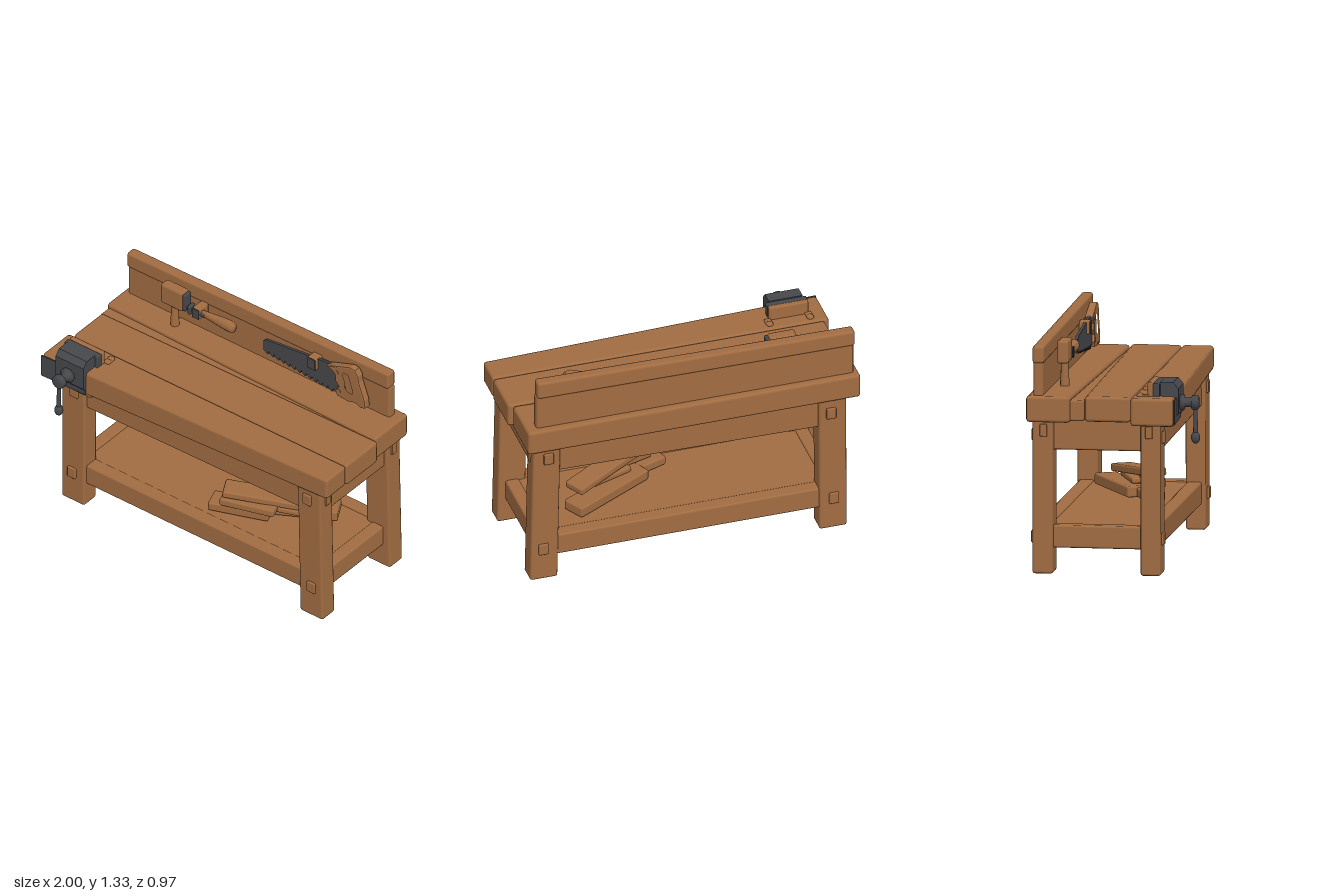
import * as THREE from 'three';
import { RoundedBoxGeometry } from 'three/addons/geometries/RoundedBoxGeometry.js';

export function createModel() {
  const bench = new THREE.Group();
  bench.name = 'workbench';
  const wood = new THREE.MeshStandardMaterial({ color: 0xa26d42 });
  wood.name = 'wood';
  const metal = new THREE.MeshStandardMaterial({ color: 0x47484c });
  metal.name = 'darkMetal';

  const add = (name, geo, mat) => {
    const m = new THREE.Mesh(geo, mat);
    m.name = name;
    bench.add(m);
    return m;
  };
  // Soft-edged block between bounds; warp(v) may bend its vertices in place.
  const block = (name, mat, [x0, x1], [y0, y1], [z0, z1], r = 0.015, warp) => {
    const geo = new RoundedBoxGeometry(x1 - x0, y1 - y0, z1 - z0, 1, r);
    geo.translate((x0 + x1) / 2, (y0 + y1) / 2, (z0 + z1) / 2);
    if (warp) {
      const p = geo.attributes.position, v = new THREE.Vector3();
      for (let i = 0; i < p.count; i++) {
        v.fromBufferAttribute(p, i);
        warp(v);
        p.setXYZ(i, v.x, v.y, v.z);
      }
    }
    return add(name, geo, mat);
  };
  const along = (x) => (x + 1) / 2; // 0 at the right end, 1 at the left end

  // Bench top: three uneven planks and a sunken wedge strip
  block('frontPlank', wood, [-1, 0.995], [0.87, 1.03], [0.115, 0.36], 0.018, (v) => {
    if (v.z > 0.2) v.z -= 0.065 * along(v.x);
    if (v.y < 0.95) v.y += 0.025 * along(v.x);
  });
  block('middlePlank', wood, [-0.97, 0.995], [0.885, 1.03], [-0.15, 0.112], 0.018, (v) => {
    if (v.z < 0) v.z -= 0.025 * along(v.x);
  });
  block('backPlank', wood, [-1, 0.97], [0.88, 1.03], [-0.48, -0.23], 0.018, (v) => {
    if (v.z > -0.35) v.z += 0.05 * along(v.x);
  });
  block('wedgeStrip', wood, [-0.985, 0.95], [0.89, 1.01], [-0.235, -0.15], 0.012, (v) => {
    v.z += (v.z < -0.19 ? 0.045 : -0.025) * along(v.x);
  });

  // Backboard: two stacked boards
  block('backboardLower', wood, [-0.97, 0.91], [1.02, 1.225], [-0.442, -0.385], 0.014, (v) => {
    if (v.y > 1.1) v.y += 0.015 * along(v.x);
  });
  block('backboardUpper', wood, [-0.977, 0.905], [1.212, 1.312], [-0.447, -0.38], 0.016, (v) => {
    v.y += (v.y > 1.26 ? 0.024 : 0.015) * along(v.x);
  });

  // Splayed legs with square pegs
  for (const s of [-1, 1]) {
    const xc = s < 0 ? -0.845 : 0.868;
    for (const [z0, z1, f] of [[0.163, 0.278, 1], [-0.455, -0.337, -1]]) {
      const tag = (f > 0 ? 'front' : 'back') + (s > 0 ? 'Left' : 'Right');
      block(tag + 'Leg', wood, [xc - 0.081, xc + 0.083], [0.005, 0.9], [z0, z1], 0.014, (v) => {
        if (v.y > 0.5) v.x -= s > 0 ? 0.018 : -0.003;
      });
      const zf = f > 0 ? z1 : z0;
      const upY = s > 0 ? 0.82 : 0.79;
      const upX = s > 0 ? 0.843 : -0.83;
      const loX = s > 0 ? 0.873 : -0.847;
      for (const [px, py] of [[upX, upY], [loX, 0.21]]) {
        block(tag + 'Peg', wood, [px - 0.029, px + 0.029], [py - 0.035, py + 0.035], [zf - 0.013, zf + 0.013], 0.006);
      }
      const zs = f > 0 ? 0.213 : -0.39;
      const xs = s > 0 ? 0.933 : -0.922;
      block(tag + 'SidePeg', wood, [xs - 0.012, xs + 0.012], [0.79, 0.86], [zs - 0.021, zs + 0.021], 0.005);
    }
    // End rails
    block('endApron', wood, [xc - 0.04, xc + 0.04], [0.71, 0.9], [-0.36, 0.19], 0.012);
    block('endStretcher', wood, [xc - 0.045, xc + 0.035], [0.15, 0.28], [-0.38, 0.2], 0.012);
  }

  // Long aprons, stretchers and shelf
  for (const [z0, z1] of [[0.18, 0.255], [-0.435, -0.36]]) {
    block('apron', wood, [-0.8, 0.82], [0.69, 0.9], [z0, z1], 0.012, (v) => {
      if (v.y < 0.8) v.y += 0.025 * along(v.x);
    });
    block('stretcher', wood, [-0.82, 0.85], [0.15, 0.28], [z0 - 0.01, z1], 0.012);
  }
  block('shelf', wood, [-0.84, 0.86], [0.15, 0.272], [-0.38, 0.2], 0.008);

  // Loose boards on the shelf: [centre, length, thickness, width, yaw, drop]
  const boards = [
    [0.18, 0.313, 0.04, 0.36, 0.055, 0.13, 0.35, 0],
    [0.4, 0.316, -0.14, 0.55, 0.065, 0.14, 0.5, 0],
    [0.25, 0.376, 0.05, 0.33, 0.048, 0.12, 0.3, 0],
    [0.4, 0.366, -0.06, 0.33, 0.035, 0.12, 0.35, 0],
    [0.355, 0.413, -0.04, 0.58, 0.045, 0.13, 0.5, -0.09],
  ];
  for (const [x, y, z, len, h, w, yaw, drop] of boards) {
    const m = add('looseBoard', new RoundedBoxGeometry(len, h, w, 1, 0.012), wood);
    m.position.set(x, y, z);
    m.rotation.set(0, yaw, drop);
  }

  // Vise: jaws, base and bolts
  const jaw = new THREE.Shape([[0.27, 0.895], [0.345, 0.895], [0.375, 0.93], [0.375, 1.075], [0.345, 1.11], [0.27, 1.11]]
    .map(([z, y]) => new THREE.Vector2(-z, y)));
  const jawGeo = new THREE.ExtrudeGeometry(jaw, { depth: 0.2, bevelEnabled: false });
  jawGeo.rotateY(Math.PI / 2).translate(-0.89, 0, 0);
  add('viseJaw', jawGeo, metal);
  block('viseJawFace', metal, [-0.91, -0.67], [1.0, 1.105], [0.232, 0.272], 0.006);
  block('viseWoodJaw', wood, [-0.905, -0.67], [1.02, 1.11], [0.2, 0.234], 0.01);
  block('viseBase', wood, [-0.9, -0.66], [0.855, 0.9], [0.25, 0.345], 0.014);
  const plate = block('visePlate', metal, [-1, -0.69], [0.88, 1.025], [0.357, 0.365], 0.003);
  plate.rotation.y = 0.0325;
  plate.position.set(-0.012, 0, -0.0275);
  for (const x of [-0.9, -0.66]) {
    const bolt = add('viseBolt', new THREE.SphereGeometry(0.022, 10, 6), wood);
    bolt.position.set(x, 1.032, 0.16);
    bolt.scale.y = 0.8;
    block('viseLug', wood, [x - 0.02, x + 0.02], [1.02, 1.04], [0.16, 0.21], 0.006);
  }
  // Vise screw and hanging handle
  const screw = new THREE.LatheGeometry([[0, 0.36], [0.045, 0.36], [0.045, 0.395], [0.028, 0.4], [0.026, 0.435],
    [0.041, 0.441], [0.041, 0.472], [0.032, 0.479], [0, 0.479]].map(([r, y]) => new THREE.Vector2(r, y)), 14);
  screw.rotateX(Math.PI / 2).translate(-0.8, 0.985, 0);
  add('viseScrew', screw, metal);
  const bar = add('viseHandle', new THREE.CylinderGeometry(0.011, 0.014, 0.18, 10), metal);
  bar.position.set(-0.8, 0.885, 0.46);
  const knob = add('viseHandleKnob', new THREE.SphereGeometry(0.026, 12, 8), metal);
  knob.position.set(-0.8, 0.785, 0.46);
  knob.scale.y = 1.35;

  // Mallet standing against the backboard, with a handled tool beside it
  block('malletHead', wood, [-0.662, -0.5], [1.165, 1.297], [-0.355, -0.288], 0.015);
  block('malletBand', metal, [-0.51, -0.483], [1.175, 1.288], [-0.35, -0.292], 0.008);
  const haft = add('malletHandle', new THREE.CylinderGeometry(0.02, 0.028, 0.16, 10), wood);
  haft.position.set(-0.58, 1.1, -0.32);
  const neck = add('toolNeck', new THREE.CylinderGeometry(0.017, 0.017, 0.14, 10).rotateZ(Math.PI / 2), metal);
  neck.position.set(-0.43, 1.195, -0.32);
  block('toolCollar', metal, [-0.475, -0.45], [1.165, 1.225], [-0.345, -0.295], 0.008);
  block('toolHolder', wood, [-0.44, -0.385], [1.158, 1.232], [-0.385, -0.3], 0.012);
  block('toolHolderFace', metal, [-0.436, -0.389], [1.163, 1.227], [-0.301, -0.293], 0.003);
  const grip = new THREE.LatheGeometry([[0, 0], [0.02, 0], [0.024, 0.05], [0.035, 0.15], [0.037, 0.2], [0.028, 0.228],
    [0, 0.23]].map(([r, y]) => new THREE.Vector2(r, y)), 12);
  grip.rotateZ(-Math.PI / 2).scale(1, 1, 0.8).translate(-0.385, 1.197, -0.325);
  add('toolGrip', grip, wood);

  // Saw blade with a toothed lower edge
  const pts = [[0.57, 1.262], [0.52, 1.258], [0.06, 1.21], [0.04, 1.195], [0.04, 1.13]];
  const teeth = 13;
  for (let i = 0; i < teeth; i++) {
    const x = 0.05 + (i * 0.5) / teeth, y = 1.125 - (i * 0.05) / teeth;
    pts.push([x, y], [x + 0.022, y - 0.014], [x + 0.03, y + 0.012]);
  }
  pts.push([0.58, 1.08]);
  const vec = (a) => a.map(([x, y]) => new THREE.Vector2(x, y));
  const blade = new THREE.ExtrudeGeometry(new THREE.Shape(vec(pts)), { depth: 0.016, bevelEnabled: false });
  add('sawBlade', blade.translate(0, 0, -0.355), metal);

  // Saw handle with a finger hole
  const outline = new THREE.Shape(vec([[0.515, 1.25], [0.6, 1.278], [0.675, 1.305], [0.705, 1.3], [0.725, 1.27],
    [0.73, 1.23], [0.77, 1.12], [0.775, 1.075], [0.75, 1.065], [0.71, 1.085], [0.66, 1.07], [0.585, 1.075],
    [0.575, 1.1], [0.6, 1.14], [0.575, 1.17], [0.575, 1.21], [0.55, 1.235]]));
  outline.holes.push(new THREE.Path(vec([[0.62, 1.24], [0.63, 1.255], [0.66, 1.25], [0.675, 1.21], [0.695, 1.15],
    [0.69, 1.13], [0.655, 1.135], [0.635, 1.155], [0.64, 1.19]])));
  const handle = new THREE.ExtrudeGeometry(outline, { depth: 0.026, bevelThickness: 0.011, bevelSize: 0.007, bevelSegments: 2 });
  add('sawHandle', handle.translate(0, 0, -0.36), wood);
  for (const [x, y] of [[0.58, 1.235], [0.595, 1.11]]) {
    const rivet = add('sawRivet', new THREE.CylinderGeometry(0.013, 0.013, 0.05, 10).rotateX(Math.PI / 2), wood);
    rivet.position.set(x, y, -0.345);
  }
  block('sawHolder', wood, [0.37, 0.432], [1.172, 1.252], [-0.385, -0.322], 0.01);
  block('sawHolderFace', metal, [0.374, 0.428], [1.176, 1.248], [-0.324, -0.316], 0.003);

  return bench;
}
